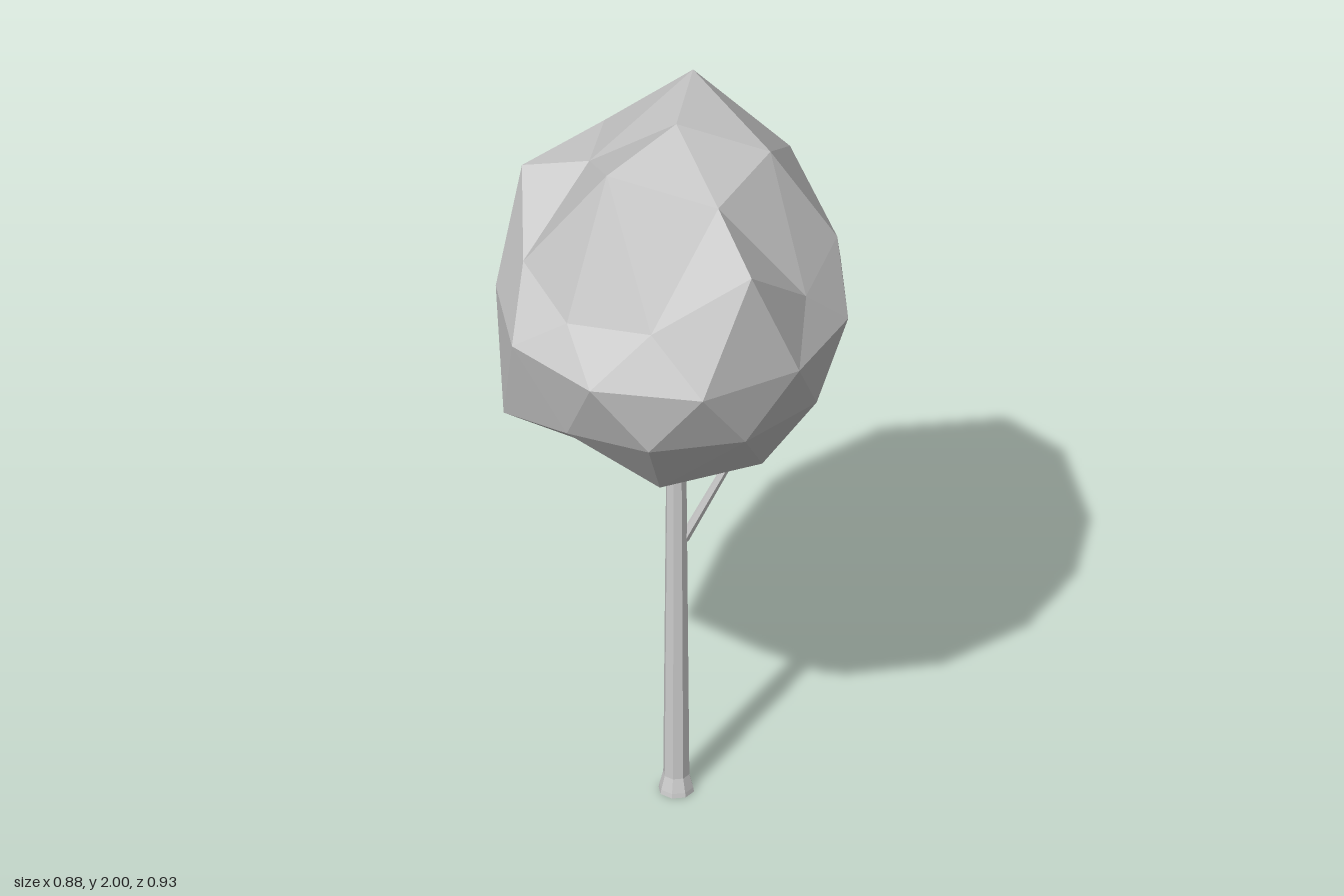
import * as THREE from 'three';

const material = new THREE.MeshStandardMaterial({ color: 0xcccccc, flatShading: true });

// Rings of the crown from top to bottom: start angle in degrees, radii, heights
const RINGS = [
  { start: 0, r: [0.24, 0.24, 0.245, 0.248, 0.25], y: [1.89, 1.88, 1.95, 1.81, 2.0] },
  { start: 0, r: [0.41, 0.37, 0.43, 0.375, 0.385, 0.39, 0.44, 0.41, 0.43, 0.4],
    y: [1.62, 1.59, 1.78, 1.6, 1.57, 1.62, 1.74, 1.77, 1.74, 1.75] },
  { start: 18, r: [0.44, 0.445, 0.467, 0.468, 0.462, 0.462, 0.482, 0.467, 0.4, 0.462], y: Array(10).fill(1.46) },
  { start: 0, r: [0.385, 0.4, 0.395, 0.41, 0.385, 0.44, 0.4, 0.41, 0.41, 0.41],
    y: [1.26, 1.28, 1.27, 1.27, 1.24, 1.17, 1.19, 1.37, 1.11, 1.23] },
  { start: 36, r: [0.245, 0.245, 0.245, 0.25, 0.245], y: [1.05, 1.06, 1.07, 0.89, 0.95] },
];

// Faceted crown: an icosphere with uneven vertices
function crownGeometry() {
  const rings = RINGS.map(({ start, r, y }) => r.map((radius, i) => {
    const a = THREE.MathUtils.degToRad(start + (360 / r.length) * i);
    return [radius * Math.cos(a), y[i], radius * Math.sin(a)];
  }));
  const [A, B, C, D, E] = rings.map((ring) => (i) => ring[(i + ring.length) % ring.length]);
  const top = [0, 1.995, 0];
  const bottom = [0, 1.0, 0];
  const points = [];
  const face = (a, b, c) => points.push(...a, ...b, ...c);

  for (let k = 0; k < 5; k++) {
    const j = 2 * k;
    // upper cap
    face(top, A(k + 1), A(k));
    face(A(k), B(j), B(j - 1));
    face(A(k), B(j + 1), B(j));
    face(A(k), A(k + 1), B(j + 1));
    // lower cap
    face(bottom, E(k), E(k + 1));
    face(E(k), D(j), D(j + 1));
    face(E(k), D(j + 1), D(j + 2));
    face(E(k), D(j + 2), E(k + 1));
  }
  // bands above and below the middle ring
  for (let j = 0; j < 10; j++) {
    face(B(j), B(j + 1), C(j));
    face(B(j + 1), C(j + 1), C(j));
    face(C(j), D(j + 1), D(j));
    face(C(j), C(j + 1), D(j + 1));
  }
  const geometry = new THREE.BufferGeometry();
  geometry.setAttribute('position', new THREE.Float32BufferAttribute(points, 3));
  geometry.computeVertexNormals();
  return geometry;
}

// Tapered cylinder between two points
function limb(name, from, to, r0, r1, sides) {
  const a = new THREE.Vector3(...from);
  const b = new THREE.Vector3(...to);
  const dir = b.clone().sub(a);
  const mesh = new THREE.Mesh(new THREE.CylinderGeometry(r1, r0, dir.length(), sides), material);
  mesh.position.copy(a).add(b).multiplyScalar(0.5);
  mesh.quaternion.setFromUnitVectors(new THREE.Vector3(0, 1, 0), dir.normalize());
  mesh.name = name;
  return mesh;
}

export function createModel() {
  const tree = new THREE.Group();
  tree.name = 'tree';

  const crown = new THREE.Mesh(crownGeometry(), material);
  crown.name = 'crown';

  // Trunk with a flared foot
  const profile = [[0, 0], [0.046, 0], [0.044, 0.012], [0.034, 0.05], [0.026, 1.02], [0, 1.02]]
    .map(([r, y]) => new THREE.Vector2(r, y));
  const trunk = new THREE.Mesh(new THREE.LatheGeometry(profile, 8, Math.PI / 8), material);
  trunk.name = 'trunk';

  tree.add(crown, trunk, limb('branch', [0.02, 0.75, 0], [0.155, 1.03, 0.025], 0.013, 0.01, 6));
  return tree;
}
